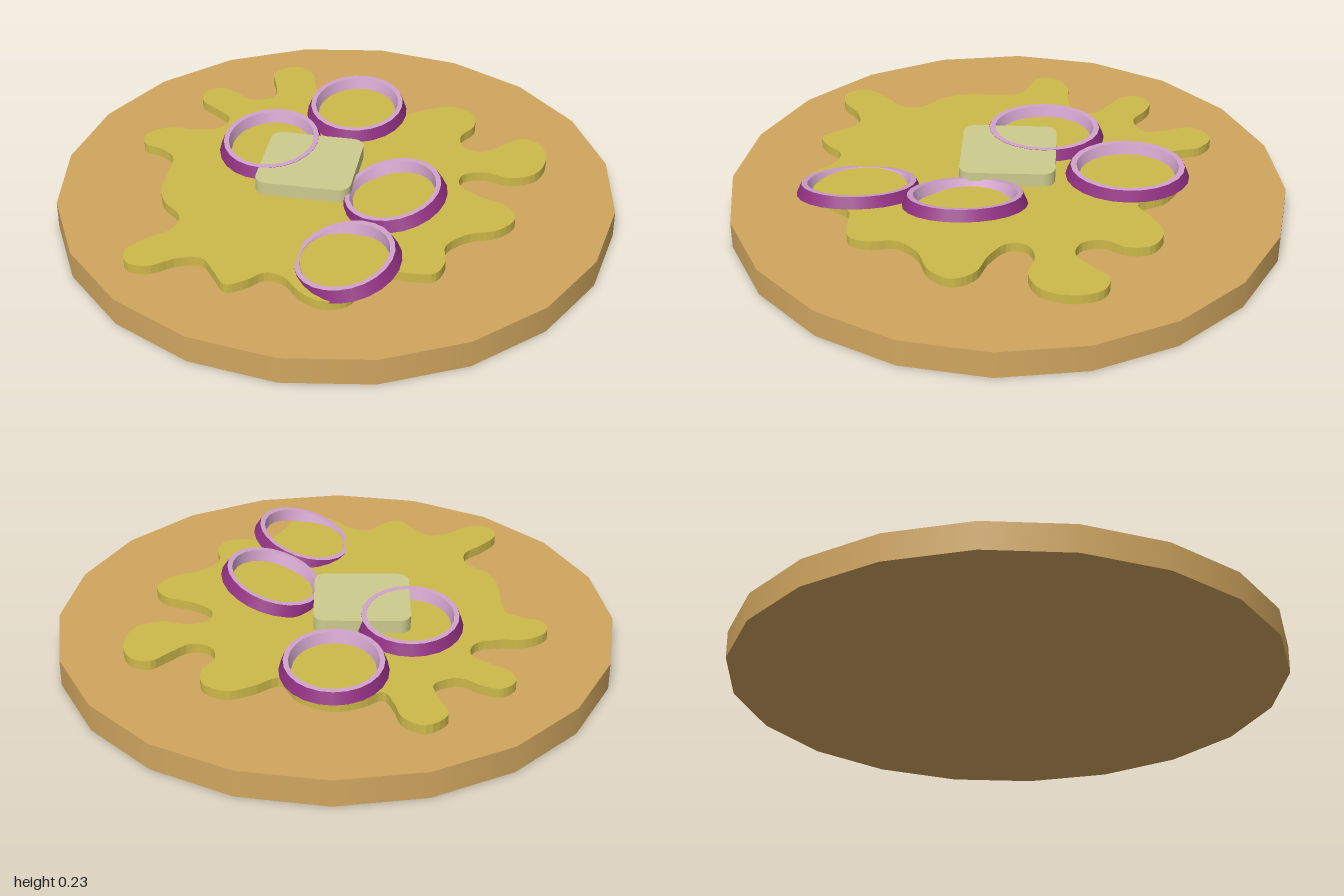
import * as THREE from 'three';

const mat = (name, color, side = THREE.FrontSide) => {
  const m = new THREE.MeshStandardMaterial({ color, side });
  m.name = name;
  return m;
};

export function createModel() {
  const crust = mat('crust tan', 0xd0a65f);
  const sauceMat = mat('mustard yellow', 0xcdb94a);
  const cheeseMat = mat('pale cheese', 0xcccb8e);
  const skin = mat('onion purple', 0x8f3080);
  const flesh = mat('onion pink', 0xd2a4cc);

  const model = new THREE.Group();
  model.name = 'toppedFlatbread';
  const add = (parent, name, geometry, material) => {
    const mesh = new THREE.Mesh(geometry, material);
    mesh.name = name;
    parent.add(mesh);
    return mesh;
  };

  // Extrudes a plan outline (x, -z) upward between two heights
  const slab = (shape, y0, y1, curveSegments) =>
    new THREE.ExtrudeGeometry(shape, { depth: y1 - y0, bevelEnabled: false, curveSegments })
      .rotateX(-Math.PI / 2).translate(0, y0, 0);

  // Round base
  add(model, 'base', new THREE.CylinderGeometry(1, 1, 0.1, 20).translate(0, 0.05, 0), crust);

  // Sauce splat: wavy closed outline, listed as x, z
  const outline = [
    -0.30, -0.745, -0.375, -0.68, -0.35, -0.59, -0.335, -0.50, -0.42, -0.46, -0.50, -0.51,
    -0.56, -0.525, -0.61, -0.48, -0.60, -0.42, -0.53, -0.365, -0.47, -0.31, -0.49, -0.235,
    -0.57, -0.21, -0.675, -0.205, -0.745, -0.15, -0.735, -0.08, -0.67, -0.055, -0.61, -0.01,
    -0.60, 0.10, -0.595, 0.20, -0.56, 0.28, -0.49, 0.35, -0.49, 0.43, -0.56, 0.50,
    -0.615, 0.58, -0.59, 0.65, -0.515, 0.655, -0.43, 0.595, -0.35, 0.58, -0.295, 0.64,
    -0.24, 0.705, -0.18, 0.675, -0.125, 0.62, -0.06, 0.63, 0.01, 0.70, 0.085, 0.735,
    0.165, 0.71, 0.21, 0.62, 0.27, 0.54, 0.36, 0.535, 0.43, 0.52, 0.455, 0.45,
    0.445, 0.36, 0.51, 0.28, 0.61, 0.235, 0.66, 0.155, 0.62, 0.08, 0.52, 0.04,
    0.445, -0.02, 0.45, -0.085, 0.52, -0.115, 0.62, -0.095, 0.705, -0.14, 0.735, -0.25,
    0.70, -0.345, 0.63, -0.365, 0.57, -0.31, 0.50, -0.25, 0.43, -0.27, 0.41, -0.345,
    0.45, -0.425, 0.435, -0.51, 0.355, -0.55, 0.27, -0.52, 0.18, -0.465, 0.12, -0.56,
    0.0, -0.62, -0.10, -0.59, -0.165, -0.55, -0.20, -0.62, -0.225, -0.70,
  ];
  const points = [];
  for (let i = 0; i < outline.length; i += 2) {
    points.push(new THREE.Vector3(outline[i], -outline[i + 1], 0));
  }
  const curve = new THREE.CatmullRomCurve3(points, true);
  const splat = new THREE.Shape(curve.getPoints(280).slice(0, -1).map(p => new THREE.Vector2(p.x, p.y)));
  add(model, 'sauce', slab(splat, 0.1, 0.135, 1), sauceMat);

  // Cheese slice with rounded corners
  const h = 0.172, r = 0.045;
  const square = new THREE.Shape();
  for (let i = 0; i < 4; i++) {
    const sx = i === 0 || i === 3 ? 1 : -1, sy = i < 2 ? 1 : -1;
    square.absarc(sx * (h - r), sy * (h - r), r, i * Math.PI / 2, (i + 1) * Math.PI / 2, false);
  }
  add(model, 'cheese', slab(square, 0.133, 0.186, 6).translate(-0.095, 0, 0), cheeseMat);

  // Onion ring: tapered oval band, purple outside and pink elsewhere
  const section = [[0.188, -0.02], [0.173, 0.02], [0.155, 0.02], [0.145, -0.02], [0.188, -0.02]]
    .map(p => new THREE.Vector2(...p));
  const faces = ['outerSkin', 'topFace', 'innerWall', 'underside'];
  const onionRing = (x, y, z, yaw = 0, tilt = 0) => {
    const ring = new THREE.Group();
    ring.name = 'onionRing';
    faces.forEach((name, i) => {
      const band = new THREE.LatheGeometry([section[i], section[i + 1]], 24).scale(1, 1, 1.18);
      add(ring, name, band, i === 0 ? skin : flesh);
    });
    ring.position.set(x, y, z);
    ring.rotation.set(0, yaw, tilt, 'ZYX');
    model.add(ring);
  };
  onionRing(0, 0.167, -0.43);
  onionRing(-0.265, 0.167, -0.125);
  onionRing(0.23, 0.175, 0.137, 0.3, 0.225);
  onionRing(0.13, 0.152, 0.52, 0.3, 0.225);

  return model;
}
